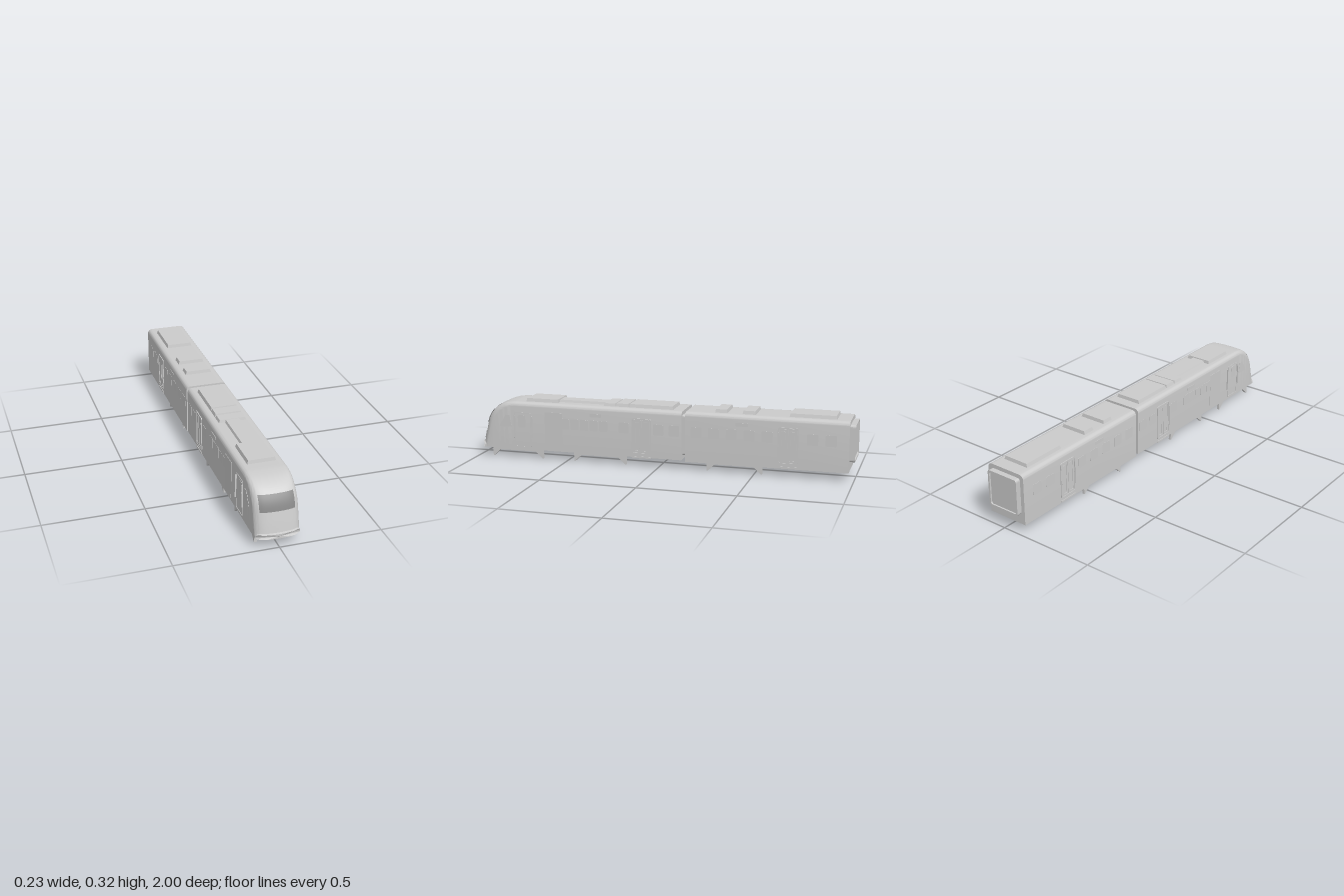
import * as THREE from 'three';
import { toCreasedNormals } from 'three/addons/utils/BufferGeometryUtils.js';

const HW = 0.108, ROOF = 0.3;
const grey = new THREE.MeshStandardMaterial({ color: 0xcccccc });
const skin = new THREE.MeshStandardMaterial({ color: 0xcccccc, side: THREE.DoubleSide });
const darkGlass = new THREE.MeshStandardMaterial({ color: 0x888888, side: THREE.DoubleSide });

// Nose outline seen from the side, as [z, roof height] stations
const noseCurve = new THREE.SplineCurve([
  [0.76, 0.3], [0.81, 0.299], [0.868, 0.288], [0.92, 0.257], [0.955, 0.21], [0.975, 0.14], [0.99, 0.073],
].map(([z, y]) => new THREE.Vector2(z, y)));
const nose = noseCurve.getPoints(30).map((p) => [p.x, Math.min(p.y, ROOF)]);

// How far the rounded nose falls back towards its sides
const pull = (x, z) => {
  const u = Math.abs(x) / HW;
  return THREE.MathUtils.smoothstep(z, 0.74, 0.95) * (0.012 * u ** 2 + 0.018 * u ** 6);
};

// Body cross-section: flat floor, upright sides, rounded roof edges
function section(bottom, top) {
  const r = Math.min(0.022, (top - bottom) * 0.8), pts = [[HW, bottom]];
  const arc = (cx, a0) => {
    for (let k = 0; k <= 6; k++) {
      const a = a0 + (k / 6) * Math.PI / 2;
      pts.push([cx + r * Math.cos(a), top - r + r * Math.sin(a)]);
    }
  };
  arc(HW - r, 0);
  for (let k = 1; k < 10; k++) pts.push([(HW - r) * (1 - k / 5), top]);
  arc(r - HW, Math.PI / 2);
  for (let k = 0; k < 10; k++) pts.push([-HW + HW * k / 5, bottom]);
  return pts;
}

// Body lofted through stations of increasing z
function loft(stations, bottom) {
  const pos = [], idx = [];
  let n = 0;
  for (const [z, top] of stations) {
    const ring = section(bottom, top);
    n = ring.length;
    for (const [x, y] of ring) pos.push(x, y, z - pull(x, z));
  }
  const last = stations.length - 1;
  pos.push(0, bottom + 0.1, stations[0][0], 0, (bottom + stations[last][1]) / 2, stations[last][0]);
  const back = n * (last + 1), front = back + 1;
  for (let j = 0; j < n; j++) {
    const k = (j + 1) % n;
    for (let i = 0; i < last; i++) {
      const a = i * n + j, b = i * n + k, c = b + n, d = a + n;
      idx.push(a, b, c, a, c, d);
    }
    idx.push(back, k, j, front, last * n + j, last * n + k);
  }
  const geo = new THREE.BufferGeometry();
  geo.setAttribute('position', new THREE.Float32BufferAttribute(pos, 3));
  geo.setIndex(idx);
  return toCreasedNormals(geo, 0.5);
}

// Thin panel that follows the curved nose
function nosePatch(x0, x1, y0, y1, lift) {
  const geo = new THREE.PlaneGeometry(x1 - x0, y1 - y0, 16, 12);
  geo.translate((x0 + x1) / 2, (y0 + y1) / 2, 0);
  const p = geo.attributes.position;
  for (let i = 0; i < p.count; i++) {
    const y = p.getY(i);
    let k = nose.findIndex((s) => s[1] < y);
    if (k < 1) k = 1;
    const [za, ya] = nose[k - 1], [zb, yb] = nose[k];
    const z = za + (zb - za) * (y - ya) / (yb - ya);
    p.setZ(i, z - pull(p.getX(i), z) + lift);
  }
  geo.computeVertexNormals();
  return geo;
}

function roundRect(u0, u1, v0, v1, r, Type = THREE.Shape) {
  const s = new Type();
  s.moveTo(u0 + r, v0);
  s.lineTo(u1 - r, v0).quadraticCurveTo(u1, v0, u1, v0 + r);
  s.lineTo(u1, v1 - r).quadraticCurveTo(u1, v1, u1 - r, v1);
  s.lineTo(u0 + r, v1).quadraticCurveTo(u0, v1, u0, v1 - r);
  s.lineTo(u0, v0 + r).quadraticCurveTo(u0, v0, u0 + r, v0);
  return s;
}
function frameShape(u0, u1, v0, v1, r, w) {
  const s = roundRect(u0, u1, v0, v1, r);
  s.holes.push(roundRect(u0 + w, u1 - w, v0 + w, v1 - w, r * 0.7, THREE.Path));
  return s;
}
const extrude = (shape, depth) => new THREE.ExtrudeGeometry(shape, { depth, bevelEnabled: false, curveSegments: 5 });

export function createModel() {
  const train = new THREE.Group();
  train.name = 'train';
  const add = (name, geo, mat = grey) => {
    const m = new THREE.Mesh(geo, mat);
    m.name = name;
    train.add(m);
    return m;
  };
  // Extrudes a (z, y) shape by `out` beyond both body sides
  const onSides = (name, shape, out, x = HW) => {
    const geo = extrude(shape, out * 2).translate(0, 0, -out).rotateY(-Math.PI / 2);
    for (const s of [1, -1]) add(name, geo).position.x = s * x;
  };
  const pane = (name, z0, z1, y0, y1, out = 0.0012, r = 0.006) => onSides(name, roundRect(z0, z1, y0, y1, r), out);

  // Car bodies
  add('frontCarBody', loft([[-0.123, ROOF], ...nose, [1, 0.07]], 0.047));
  add('rearCarBody', loft([[-0.973, ROOF], [-0.142, ROOF]], 0.041));

  // Gangways between the cars and at the rear end
  add('carGangway', extrude(roundRect(-0.09, 0.09, 0.07, 0.28, 0.012), 0.04)).position.z = -0.152;
  add('rearGangwayFrame', extrude(frameShape(-0.088, 0.088, 0.092, 0.28, 0.014, 0.009), 0.03)).position.z = -1;
  add('rearGangwayPanel', extrude(roundRect(-0.081, 0.081, 0.099, 0.273, 0.008), 0.02)).position.z = -0.992;

  // Windscreen, destination display, headlights and nose trim
  add('windscreen', nosePatch(-0.085, 0.085, 0.172, 0.245, 0.003), darkGlass);
  add('destinationDisplay', nosePatch(-0.04, 0.04, 0.251, 0.267, 0.003), skin);
  add('couplerCover', nosePatch(-0.032, 0.032, 0.085, 0.126, 0.0015), skin);
  for (const s of [1, -1]) {
    const x = [0.042 * s, 0.086 * s].sort((a, b) => a - b);
    add('headlight', nosePatch(x[0], x[1], 0.088, 0.128, 0.0025), skin);
  }

  // Side windows
  for (let i = 0; i < 5; i++) pane('window', 0.275 + i * 0.053, 0.32 + i * 0.053, 0.17, 0.226);
  for (const z of [0.186, 0, -0.083]) pane('window', z - 0.027, z + 0.027, 0.17, 0.226);
  for (const z of [-0.2, -0.29, -0.382, -0.473, -0.565, -0.792, -0.884]) pane('window', z - 0.028, z + 0.028, 0.17, 0.226);
  for (const z of [0.34, -0.435]) pane('sideDisplay', z - 0.032, z + 0.032, 0.244, 0.262, 0.002, 0.005);

  // Double passenger doors: surround, leaves, door glass and handrail
  for (const z of [0.09, -0.67]) {
    onSides('doorFrame', frameShape(z - 0.052, z + 0.052, 0.065, 0.252, 0.012, 0.006), 0.004);
    for (const s of [1, -1]) {
      const c = z + s * 0.0225;
      onSides('doorLeaf', frameShape(c - 0.0215, c + 0.0215, 0.072, 0.245, 0.005, 0.01), 0.0025);
      pane('doorGlass', c - 0.0105, c + 0.0105, 0.09, 0.232, 0.001, 0.004);
    }
    pane('doorHandrail', z + 0.047, z + 0.051, 0.11, 0.226, 0.007, 0.001);
    pane('doorStep', z - 0.05, z + 0.05, 0.043, 0.052, 0.003, 0.001);
  }

  // Wide service door, cab door with window and handrails, cab quarter window
  pane('serviceDoor', 0.525, 0.622, 0.06, 0.255, 0.002, 0.004);
  onSides('cabDoor', frameShape(0.702, 0.793, 0.06, 0.245, 0.006, 0.003), 0.002);
  pane('cabDoorWindow', 0.733, 0.775, 0.165, 0.232, 0.0015, 0.012);
  for (const z of [0.695, 0.795]) pane('cabHandrail', z - 0.002, z + 0.002, 0.11, 0.23, 0.007, 0.001);
  onSides('cabQuarterWindow', new THREE.Shape([
    [0.812, 0.165], [0.882, 0.165], [0.845, 0.228], [0.822, 0.228],
  ].map(([z, y]) => new THREE.Vector2(z, y))), 0.0015);

  // Roof units with sloping sides: [name, z0, z1, half width, top height]
  const roofUnits = [
    ['frontAirUnit', 0.56, 0.74, 0.071, 0.317],
    ['roofDuct', 0.3, 0.565, 0.04, 0.312],
    ['equipmentBox', 0.242, 0.307, 0.071, 0.314],
    ['equipmentBox', 0.17, 0.24, 0.071, 0.316],
    ['middleAirUnit', -0.068, 0.168, 0.071, 0.317],
    ['smallVent', -0.352, -0.288, 0.071, 0.317],
    ['smallVent', -0.498, -0.43, 0.071, 0.317],
    ['rearAirUnit', -0.905, -0.668, 0.071, 0.317],
  ];
  for (const [name, z0, z1, w, top] of roofUnits) {
    const geo = new THREE.BoxGeometry(w * 2, top - 0.298, z1 - z0).toNonIndexed();
    const p = geo.attributes.position;
    for (let i = 0; i < p.count; i++) {
      if (p.getY(i) > 0) {
        p.setX(i, p.getX(i) - Math.sign(p.getX(i)) * 0.006);
        p.setZ(i, p.getZ(i) - Math.sign(p.getZ(i)) * 0.004);
      }
    }
    geo.computeVertexNormals();
    add(name, geo).position.set(0, (top + 0.298) / 2, (z0 + z1) / 2);
  }

  // Bogie side frames: a rail with a tapering foot at each end
  for (const [z0, z1] of [[0.64, 0.927], [0.178, 0.465], [-0.54, -0.253]]) {
    const foot = [
      [z0, 0.048], [z0, 0], [z0 + 0.006, 0], [z0 + 0.042, 0.035],
      [z1 - 0.042, 0.035], [z1 - 0.006, 0], [z1, 0], [z1, 0.048],
    ].map(([z, y]) => new THREE.Vector2(z, y));
    onSides('bogieFrame', new THREE.Shape(foot), 0.0065, 0.09);
  }
  return train;
}
